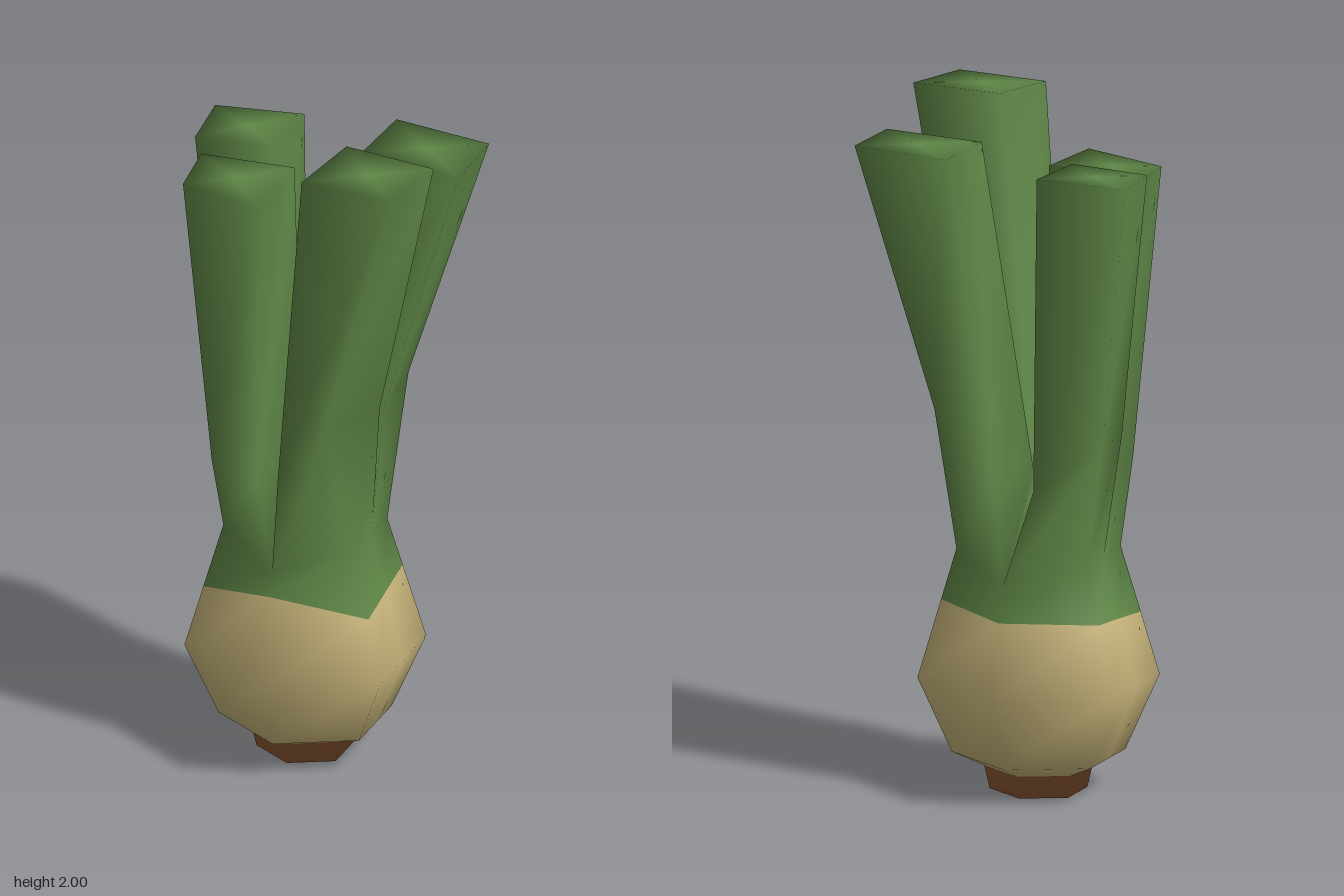
import * as THREE from 'three';

const mat = (name, color) => Object.assign(new THREE.MeshStandardMaterial({ color }), { name });

// Joins equal-length rings of [x, y, z] (anticlockwise from above, bottom to top).
// Caps are fans round a centre point.
function loft(rings, { bottom = false, top = false } = {}) {
  const n = rings[0].length;
  const points = rings.flat();
  const index = [];
  const cap = (start, up) => {
    const ring = points.slice(start, start + n);
    const centre = points.push([0, 1, 2].map(a => ring.reduce((s, p) => s + p[a], 0) / n)) - 1;
    for (let i = 0; i < n; i++) {
      const a = start + i, b = start + (i + 1) % n;
      index.push(...(up ? [a, b, centre] : [b, a, centre]));
    }
  };
  for (let r = 0; r < rings.length - 1; r++) {
    for (let i = 0; i < n; i++) {
      const a = r * n + i, b = r * n + (i + 1) % n;
      index.push(a, b, b + n, a, b + n, a + n);
    }
  }
  if (bottom) cap(0, false);
  if (top) cap((rings.length - 1) * n, true);
  const geo = new THREE.BufferGeometry();
  geo.setAttribute('position', new THREE.Float32BufferAttribute(points.flat(), 3));
  geo.setIndex(index);
  return geo;
}

// Smooths the shading across all parts by summing face normals at shared corners
function smoothTogether(geometries) {
  const sums = new Map();
  const key = v => v.toArray().map(c => Math.round(c * 1e4)).join();
  const v = [new THREE.Vector3(), new THREE.Vector3(), new THREE.Vector3()];
  for (const { index, attributes } of geometries) {
    for (let i = 0; i < index.count; i += 3) {
      v.forEach((p, k) => p.fromBufferAttribute(attributes.position, index.getX(i + k)));
      const normal = v[1].clone().sub(v[0]).cross(v[2].clone().sub(v[0]));
      for (const p of v) sums.set(key(p), (sums.get(key(p)) ?? new THREE.Vector3()).add(normal));
    }
  }
  for (const geo of geometries) {
    const { position } = geo.attributes;
    const normals = [];
    for (let i = 0; i < position.count; i++) {
      normals.push(...sums.get(key(v[0].fromBufferAttribute(position, i))).clone().normalize());
    }
    geo.setAttribute('normal', new THREE.Float32BufferAttribute(normals, 3));
  }
}

// Slightly turned hexagon with extra points halfway along its two side edges
function bodyRing(radius, height) {
  const corners = Array.from({ length: 6 }, (_, i) => {
    const a = 0.165 + i * Math.PI / 3;
    const y = typeof height === 'function' ? height(i) : height;
    const r = typeof radius === 'function' ? radius(y) : radius;
    return [-0.035 + 1.055 * r * Math.sin(a), y, r * Math.cos(a)];
  });
  const middle = (p, q) => p.map((c, i) => (c + q[i]) / 2);
  const [front, frontRight, backRight, back, backLeft, frontLeft] = corners;
  return [front, frontRight, middle(frontRight, backRight), backRight,
    back, backLeft, middle(backLeft, frontLeft), frontLeft];
}

export function createModel() {
  const group = new THREE.Group();
  const tan = mat('bulb tan', 0xcdba7e);
  const green = mat('leaf green', 0x628b49);
  const brown = mat('root brown', 0x9c6239);
  const add = (name, geo, material) => {
    const mesh = new THREE.Mesh(geo, material);
    mesh.name = name;
    group.add(mesh);
  };

  // Root stub, bulb and neck share their border rings; the neck dips at front and back
  const edge = [0.59, 0.515, 0.56, 0.55, 0.54, 0.515];
  const neckHeight = [0.66, 0.71, 0.71, 0.65, 0.71, 0.71];
  const shoulder = y => 0.335 - 0.284 * (y - 0.33);
  const rootTop = bodyRing(0.15, 0.068);
  const colourEdge = bodyRing(shoulder, i => edge[i]);
  const neckTop = bodyRing(shoulder, i => neckHeight[i]);
  add('root', loft([bodyRing(0.135, 0), rootTop], { bottom: true }), brown);
  add('bulb', loft([rootTop, bodyRing(0.24, 0.11), bodyRing(0.335, 0.33), colourEdge]), tan);
  add('neck', loft([colourEdge, neckTop]), green);

  // Four leaves, each growing from a quarter of the neck: corners at base, bend and tip
  const middle = [-0.035, 0.9, -0.01];
  const [front, frontRight, right, backRight, back, backLeft, left, frontLeft] = neckTop;
  const leaves = {
    frontRightLeaf: [
      [middle, front, frontRight, right],
      [[-0.01, 1.0, 0], [0.03, 0.96, 0.245], [0.16, 1.13, 0.21], [0.215, 1.14, -0.005]],
      [[0.16, 2, 0.085], [0.16, 1.985, 0.32], [0.435, 1.985, 0.285], [0.44, 1.995, 0.06]],
    ],
    backRightLeaf: [
      [back, middle, right, backRight],
      [[-0.055, 0.96, -0.258], [-0.03, 0.95, -0.02], [0.21, 1.12, -0.03], [0.16, 1.14, -0.24]],
      [[0.08, 1.9, -0.3], [0.11, 1.9, -0.075], [0.425, 1.895, -0.095], [0.385, 1.9, -0.315]],
    ],
    frontLeftLeaf: [
      [left, frontLeft, front, middle],
      [[-0.25, 0.95, 0.01], [-0.21, 0.95, 0.22], [-0.03, 0.95, 0.262], [-0.045, 0.95, 0]],
      [[-0.35, 1.825, 0.06], [-0.295, 1.82, 0.24], [-0.03, 1.828, 0.26], [-0.065, 1.838, 0.01]],
    ],
    backLeftLeaf: [
      [backLeft, left, middle, back],
      [[-0.345, 1.08, -0.13], [-0.31, 1.08, 0.02], [-0.155, 0.98, -0.02], [-0.165, 0.94, -0.215]],
      [[-0.445, 1.86, -0.16], [-0.39, 1.855, 0.03], [-0.165, 1.865, -0.02], [-0.19, 1.87, -0.235]],
    ],
  };
  for (const [name, rings] of Object.entries(leaves)) add(name, loft(rings, { top: true }), green);

  smoothTogether(group.children.map(mesh => mesh.geometry));
  return group;
}
